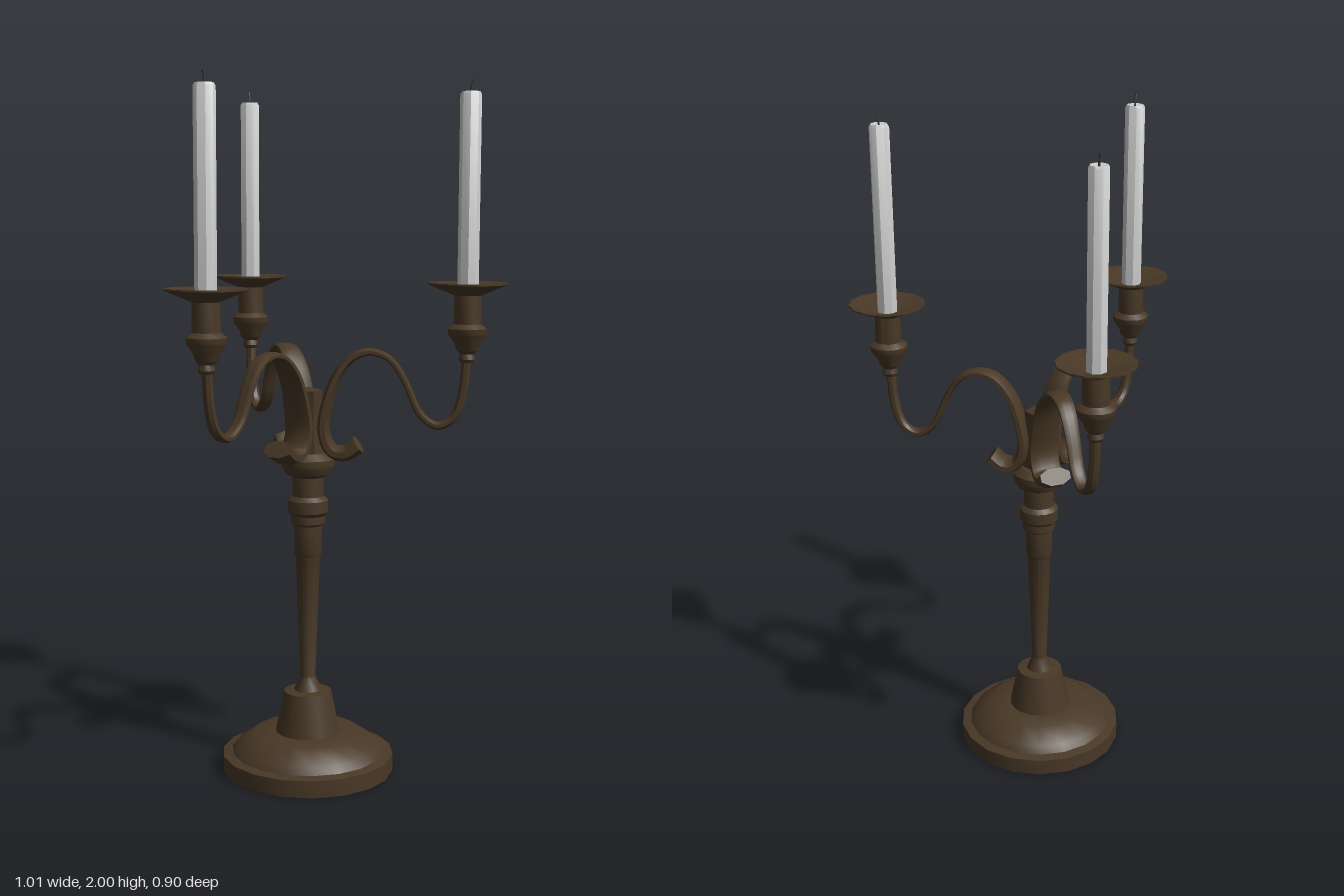
import * as THREE from 'three';
import { toCreasedNormals } from 'three/addons/utils/BufferGeometryUtils.js';

const bronze = new THREE.MeshStandardMaterial({ color: 0x483826 });
const wax = new THREE.MeshStandardMaterial({ color: 0xcccccc });
const char = new THREE.MeshStandardMaterial({ color: 0x3a3a3a });

const AXIS_Z = 0.11; // column axis
const REACH = 0.452; // column axis to candle axis

function part(name, geometry, material) {
  const mesh = new THREE.Mesh(toCreasedNormals(geometry, 0.6), material);
  mesh.name = name;
  return mesh;
}

// Turned part from [radius, height] pairs, bottom to top
function turned(name, profile, sides, material = bronze) {
  const points = profile.map(([r, y]) => new THREE.Vector2(r, y));
  return part(name, new THREE.LatheGeometry(points, sides), material);
}

// Strap swept along a curve in the xy plane; stations are [x, y, half thickness, half width]
function strap(stations, steps, sides) {
  const path = new THREE.CatmullRomCurve3(stations.map(([x, y]) => new THREE.Vector3(x, y, 0)));
  const size = new THREE.CatmullRomCurve3(stations.map(([, , t, w]) => new THREE.Vector3(t, w, 0)), false, 'catmullrom', 0.3);
  const pos = [], index = [];
  for (let i = 0; i <= steps; i++) {
    const p = path.getPoint(i / steps), t = path.getTangent(i / steps), s = size.getPoint(i / steps);
    for (let j = 0; j < sides; j++) {
      const a = ((j + 0.5) / sides) * Math.PI * 2;
      const n = Math.cos(a) * s.x;
      pos.push(p.x - t.y * n, p.y + t.x * n, Math.sin(a) * s.y);
    }
  }
  for (let i = 0; i < steps; i++) {
    for (let j = 0; j < sides; j++) {
      const k = (j + 1) % sides;
      const a = i * sides + j, b = i * sides + k, c = b + sides, d = a + sides;
      index.push(a, b, c, a, c, d);
    }
  }
  const last = steps * sides;
  for (let j = 1; j < sides - 1; j++) {
    index.push(0, j + 1, j, last, last + j, last + j + 1);
  }
  const geometry = new THREE.BufferGeometry();
  geometry.setAttribute('position', new THREE.Float32BufferAttribute(pos, 3));
  geometry.setIndex(index);
  return geometry;
}

function createBranch() {
  const branch = new THREE.Group();
  branch.name = 'branch';

  // S-shaped arm: scroll foot, rise along the column, crest, dip, rise to the socket
  branch.add(part('arm', strap([
    [0.145, 0.975, 0.028, 0.05],
    [0.11, 0.95, 0.024, 0.05],
    [0.07, 0.955, 0.02, 0.048],
    [0.045, 1.01, 0.018, 0.048],
    [0.055, 1.09, 0.018, 0.046],
    [0.085, 1.175, 0.016, 0.04],
    [0.13, 1.228, 0.013, 0.034],
    [0.18, 1.243, 0.011, 0.03],
    [0.235, 1.222, 0.01, 0.026],
    [0.28, 1.155, 0.01, 0.023],
    [0.32, 1.068, 0.011, 0.021],
    [0.37, 1.033, 0.012, 0.02],
    [0.415, 1.055, 0.013, 0.018],
    [0.44, 1.12, 0.014, 0.016],
    [REACH, 1.24, 0.014, 0.015],
  ], 44, 8), bronze));

  const holder = new THREE.Group();
  holder.name = 'candleHolder';
  holder.position.x = REACH;

  // Socket and drip pan
  holder.add(turned('socket', [
    [0, 1.215], [0.018, 1.215], [0.024, 1.225], [0.02, 1.24], [0.03, 1.25],
    [0.035, 1.268], [0.054, 1.295], [0.056, 1.312], [0.039, 1.325], [0.038, 1.405],
    [0.05, 1.41], [0.113, 1.436], [0.113, 1.441], [0.104, 1.441], [0.05, 1.418], [0, 1.416],
  ], 13));

  // Candle with a small bent wick
  holder.add(turned('candle', [[0, 1.41], [0.03, 1.41], [0.03, 1.96], [0.025, 1.968], [0, 1.964]], 8, wax));
  const wickPath = new THREE.CatmullRomCurve3([
    new THREE.Vector3(0, 1.96, 0), new THREE.Vector3(0.001, 1.982, 0), new THREE.Vector3(0.006, 1.999, 0),
  ]);
  holder.add(part('wick', new THREE.TubeGeometry(wickPath, 4, 0.003, 5), char));
  branch.add(holder);
  return branch;
}

export function createModel() {
  const model = new THREE.Group();
  model.name = 'candelabra';
  model.position.z = AXIS_Z;

  // Stepped round base
  model.add(turned('base', [
    [0, 0], [0.253, 0], [0.253, 0.05], [0.225, 0.055], [0.21, 0.075], [0.155, 0.112],
    [0.095, 0.114], [0.07, 0.236], [0.035, 0.24], [0, 0.24],
  ], 18));

  // Tapered column with collars and cup
  model.add(turned('column', [
    [0.042, 0.236], [0.034, 0.255], [0.023, 0.28], [0.036, 0.645], [0.04, 0.652], [0.041, 0.735],
    [0.05, 0.742], [0.05, 0.765], [0.059, 0.775], [0.059, 0.81], [0.046, 0.822], [0.046, 0.878],
    [0.066, 0.888], [0.078, 0.912], [0.078, 0.932], [0.055, 0.95], [0, 0.95],
  ], 14));

  // Five-sided core between the arms
  model.add(turned('core', [[0.05, 0.94], [0.035, 1.03], [0.042, 1.13], [0, 1.14]], 5));

  for (const angle of [90, -30, 210]) {
    const branch = createBranch();
    branch.rotation.y = THREE.MathUtils.degToRad(angle);
    model.add(branch);
  }

  const root = new THREE.Group();
  root.name = 'model';
  root.add(model);
  return root;
}
